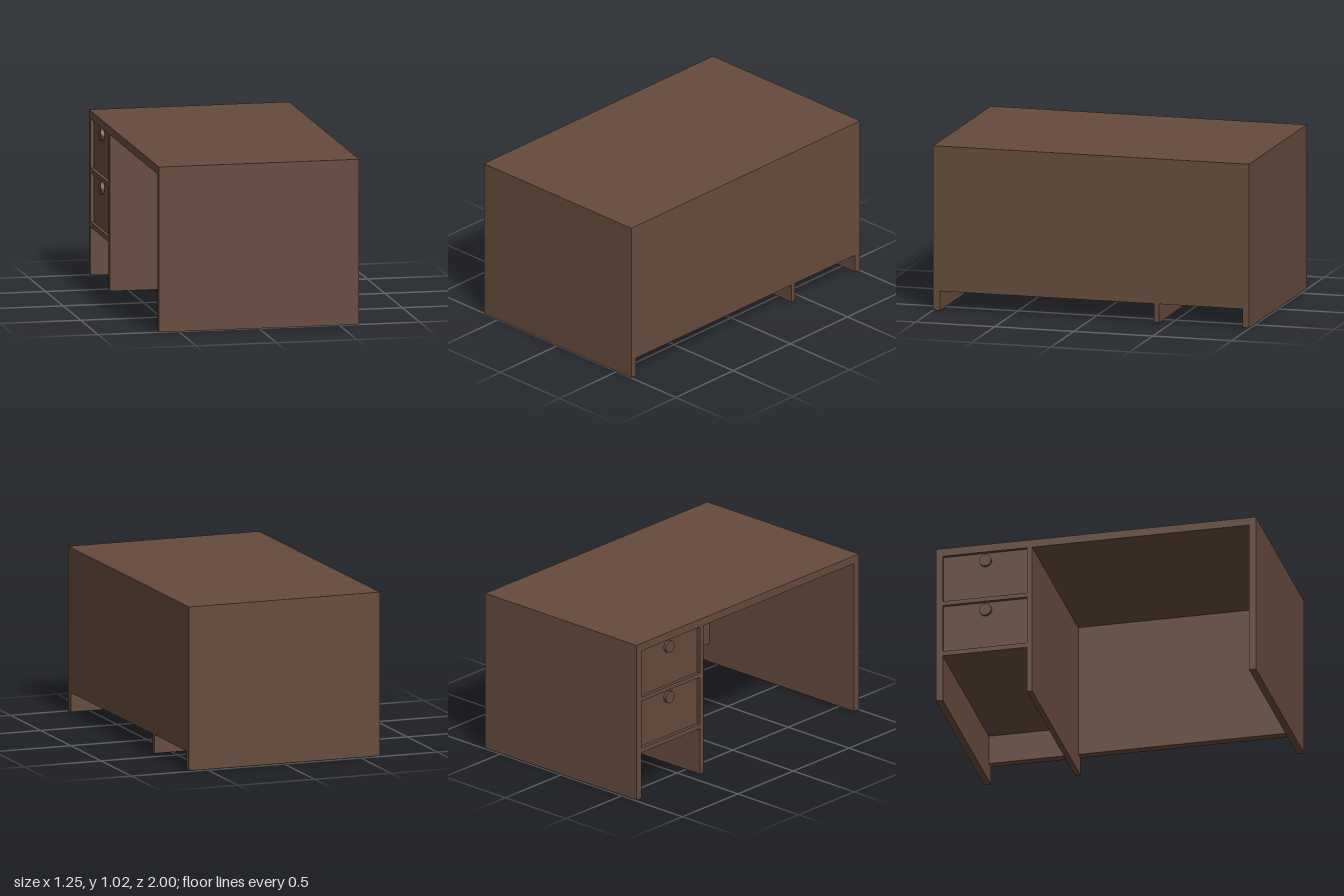
import * as THREE from 'three';

// Desk with an enclosed back panel and two drawers facing -x
export function createModel() {
  const desk = new THREE.Group();
  desk.name = 'desk';
  const wood = new THREE.MeshStandardMaterial({ color: 0x654a3b });
  wood.name = 'darkWood';

  // Box given by its lower and upper limits on each axis
  function panel(name, [x0, x1], [y0, y1], [z0, z1], parent = desk) {
    const mesh = new THREE.Mesh(new THREE.BoxGeometry(x1 - x0, y1 - y0, z1 - z0), wood);
    mesh.name = name;
    mesh.position.set((x0 + x1) / 2, (y0 + y1) / 2, (z0 + z1) / 2);
    parent.add(mesh);
    return mesh;
  }

  const X = 0.623, top = 1.02, under = 0.97;
  const inner = X - 0.055;              // inner face of the modesty panel
  const zSide = -0.957, zDiv = -0.43;   // inner faces of the drawer bay

  // Carcass
  panel('desktop', [-X, X], [under, top], [-1, 1]);
  panel('frontSidePanel', [-X, X], [0, under], [0.957, 1]);
  panel('backSidePanel', [-X, X], [0.005, under], [-1, zSide]);
  panel('divider', [-X, X], [0.005, under], [zDiv, -0.398]);
  panel('modestyPanelWide', [inner, X], [0.12, under], [-0.398, 0.957]);
  panel('modestyPanelNarrow', [inner, X], [0.12, under], [zSide, zDiv]);

  // Drawer bay
  panel('bayFloor', [-X, inner], [0.303, 0.333], [zSide, zDiv]);
  panel('bayShelf', [-X, inner], [0.64, 0.667], [zSide, zDiv]);

  // Drawers, set slightly back, each with a round knob
  const zMid = (zSide + zDiv) / 2;
  [[0.667, under], [0.333, 0.64]].forEach(([y0, y1], i) => {
    const drawer = new THREE.Group();
    drawer.name = i ? 'lowerDrawer' : 'upperDrawer';
    panel('drawerBody', [-X + 0.022, inner], [y0, y1], [zSide, zDiv], drawer);

    const knob = new THREE.Mesh(new THREE.CylinderGeometry(0.038, 0.038, 0.02, 24), wood);
    knob.name = 'knob';
    knob.rotation.z = Math.PI / 2;
    knob.position.set(-X + 0.012, y1 - 0.053, zMid);
    drawer.add(knob);
    desk.add(drawer);
  });

  return desk;
}
